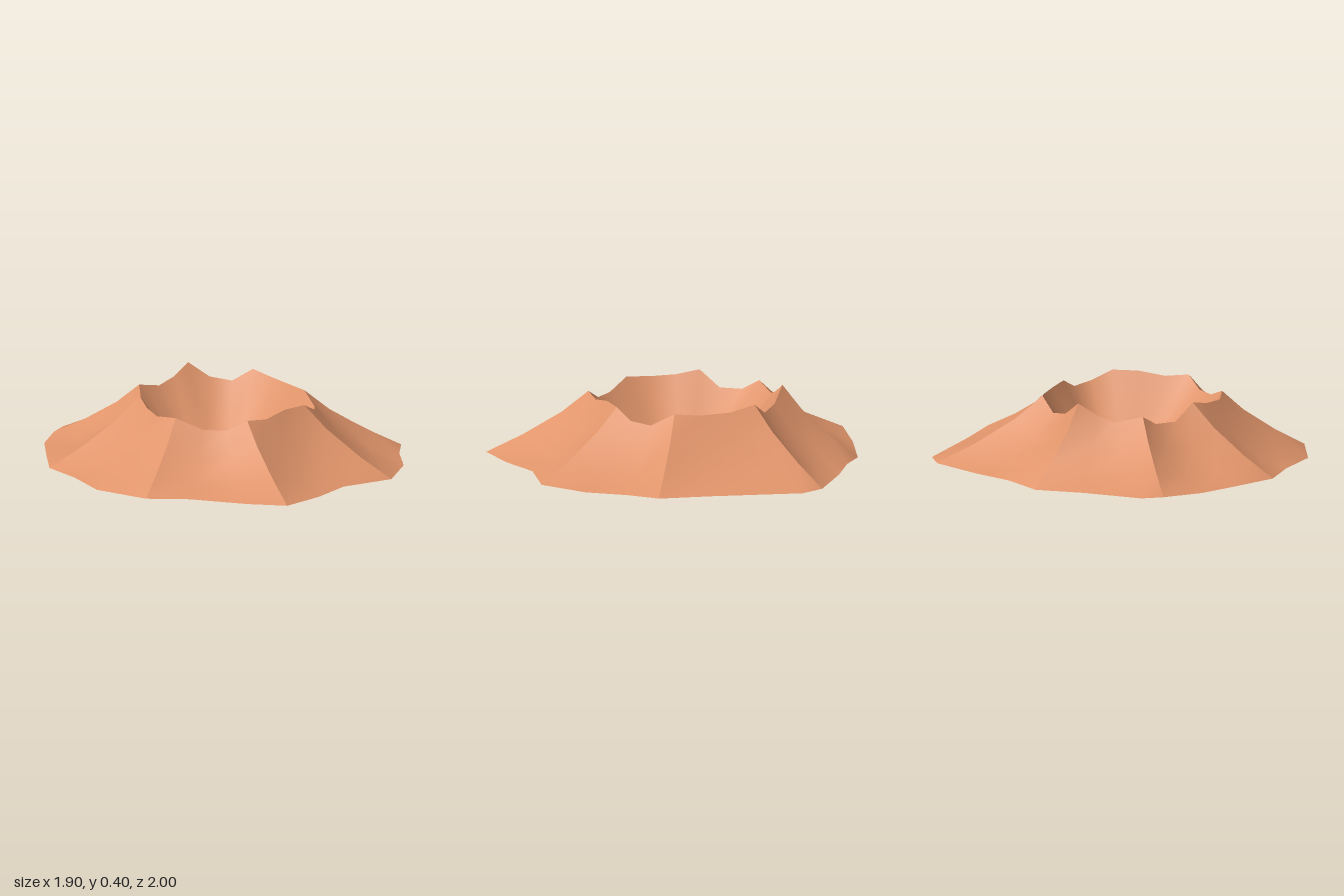
import * as THREE from 'three';

// Foot of the slope [x, z]; every third point carries a ridge
const FOOT = [
  [0.94, 0.24], [0.84, 0.39], [0.74, 0.61], [0.54, 0.82], [0.24, 0.82], [0.02, 0.93],
  [-0.22, 1.0], [-0.39, 0.86], [-0.61, 0.62], [-0.81, 0.49], [-0.95, 0.2], [-0.93, -0.07],
  [-0.95, -0.31], [-0.84, -0.53], [-0.72, -0.76], [-0.56, -0.93], [-0.46, -1.0], [-0.12, -1.0],
  [0.17, -0.98], [0.36, -0.89], [0.58, -0.81], [0.87, -0.67], [0.95, -0.55], [0.935, -0.05],
];
// Crater rim [x, y, z], matching the foot point by point
const RIM = [
  [0.43, 0.35, 0.07], [0.42, 0.29, 0.2], [0.36, 0.305, 0.3], [0.26, 0.36, 0.36],
  [0.12, 0.36, 0.39], [-0.02, 0.335, 0.43], [-0.15, 0.35, 0.45], [-0.24, 0.29, 0.38],
  [-0.34, 0.29, 0.3], [-0.45, 0.345, 0.19], [-0.49, 0.33, 0.06], [-0.47, 0.34, -0.08],
  [-0.44, 0.37, -0.21], [-0.38, 0.28, -0.31], [-0.31, 0.285, -0.42], [-0.27, 0.34, -0.51],
  [-0.12, 0.305, -0.55], [-0.02, 0.34, -0.56], [0.08, 0.4, -0.58], [0.18, 0.32, -0.52],
  [0.28, 0.3, -0.45], [0.37, 0.37, -0.38], [0.42, 0.345, -0.24], [0.44, 0.34, -0.07],
];
const N = RIM.length, SPAN = 3;
// Slope profile: [fraction of the way in, fraction of the height, gully depth]
const SLOPE = [[0, 0, 0], [0.36, 0.29, 0.04], [0.74, 0.66, 0.03], [1, 1, 0]];
// Hollow profile: [fraction of the radius, fraction of the height]
const HOLLOW = [[1, 1], [0.53, 0.03]];

function makeGeometry(positions, index) {
  const g = new THREE.BufferGeometry();
  g.setAttribute('position', new THREE.Float32BufferAttribute(positions, 3));
  g.setIndex(index);
  g.computeVertexNormals();
  return g;
}

// One smooth face of the slope between two neighbouring ridges
function slopeSector(start) {
  const pos = [], idx = [], w = SPAN + 1;
  SLOPE.forEach(([t, h, gully], row) => {
    for (let k = 0; k <= SPAN; k++) {
      const i = (start + k) % N, [fx, fz] = FOOT[i], [rx, ry, rz] = RIM[i];
      const fy = i === 18 ? 0 : 0.014;
      const dip = k === 0 || k === SPAN ? 0 : gully;
      pos.push(fx + (rx - fx) * t, fy + (ry - fy) * h - dip, fz + (rz - fz) * t);
      if (row && k) {
        const d = row * w + k, c = d - 1, b = d - w, a = b - 1;
        idx.push(a, c, b, b, c, d);
      }
    }
  });
  return makeGeometry(pos, idx);
}

// Smooth hollow: steep walls from the rim down to a nearly flat floor
function bowlGeometry() {
  const floor = 0.03, cx = 0.02, cz = -0.05, pos = [], idx = [];
  HOLLOW.forEach(([t, h], r) => {
    for (let i = 0; i < N; i++) {
      const [x, y, z] = RIM[i];
      pos.push(cx + (x - cx) * t, floor + (y - floor) * h, cz + (z - cz) * t);
      const a = r * N + i, b = r * N + (i + 1) % N;
      if (r < HOLLOW.length - 1) idx.push(a, a + N, b, b, a + N, b + N);
      else idx.push(a, HOLLOW.length * N, b);
    }
  });
  pos.push(cx, floor, cz);
  return makeGeometry(pos, idx);
}

export function createModel() {
  const clay = new THREE.MeshStandardMaterial({ color: 0xe0946a, side: THREE.DoubleSide });
  clay.name = 'clay';
  const model = new THREE.Group();
  model.name = 'crater';

  const slope = new THREE.Group();
  slope.name = 'outerSlope';
  for (let s = 0; s < N; s += SPAN) {
    const face = new THREE.Mesh(slopeSector(s), clay);
    face.name = `slopeFace${s / SPAN + 1}`;
    slope.add(face);
  }

  const bowl = new THREE.Mesh(bowlGeometry(), clay);
  bowl.name = 'bowl';
  model.add(slope, bowl);
  return model;
}
